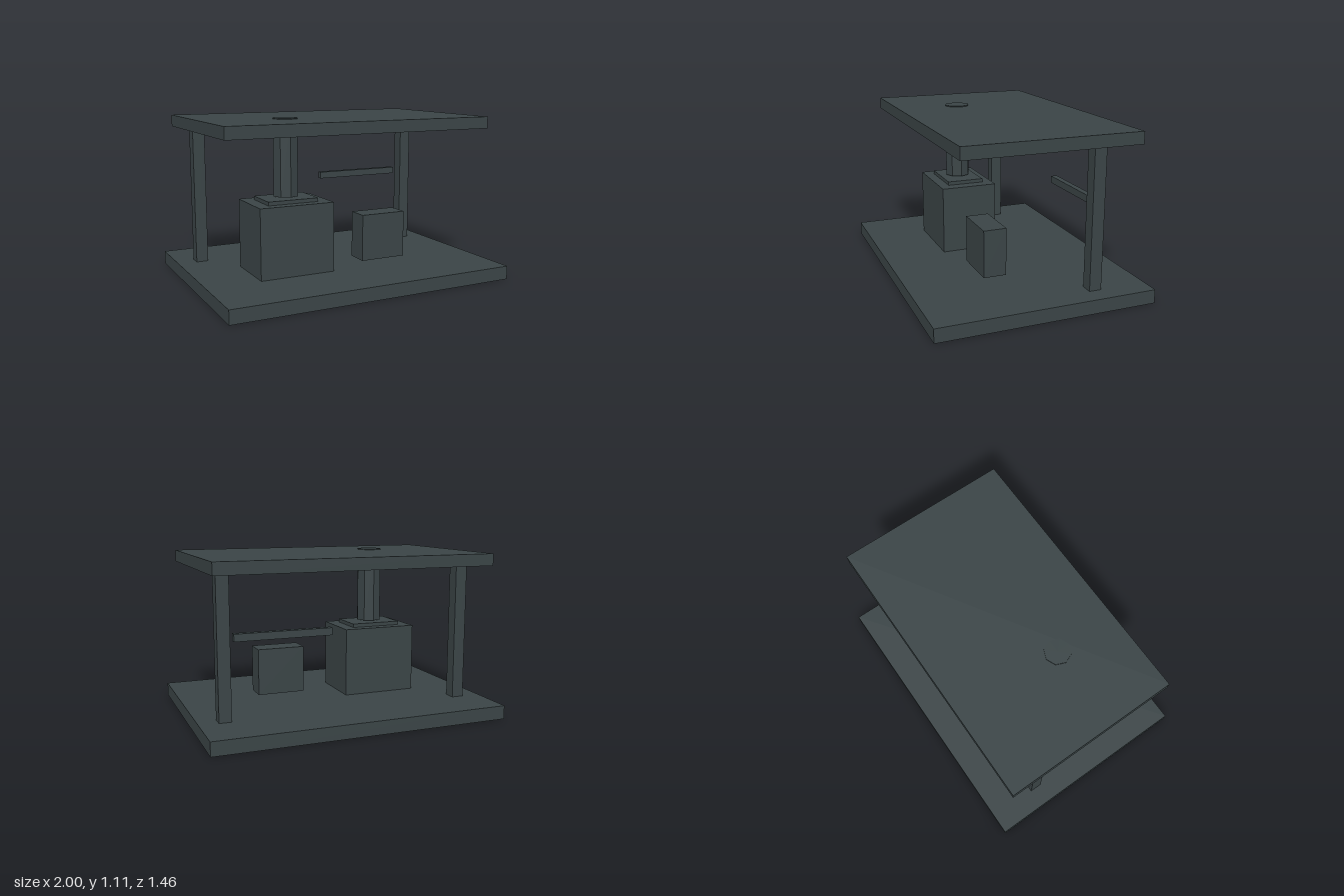
import * as THREE from 'three';

export function createModel() {
  const group = new THREE.Group();
  const material = new THREE.MeshStandardMaterial({ color: 0x3a4446, flatShading: true });

  const add = (name, geometry, x, y, z) => {
    const mesh = new THREE.Mesh(geometry, material);
    mesh.name = name;
    mesh.position.set(x, y, z);
    group.add(mesh);
  };

  // Box given by its ranges along each axis
  const box = (name, [x0, x1], [y0, y1], [z0, z1]) =>
    add(name, new THREE.BoxGeometry(x1 - x0, y1 - y0, z1 - z0),
      (x0 + x1) / 2, (y0 + y1) / 2, (z0 + z1) / 2);

  // Ground slab and flat roof
  box('base', [-1, 1], [0, 0.092], [-0.73, 0.73]);
  box('roof', [-0.938, 0.938], [1.025, 1.105], [-0.625, 0.54]);

  // Pair of rear roof posts
  for (const [name, x] of [['leftPost', 0.832], ['rightPost', -0.832]]) {
    box(name, [x - 0.041, x + 0.041], [0.092, 1.025], [-0.412, -0.33]);
  }

  // Furnace block with stepped collar and octagonal chimney
  box('furnace', [-0.638, -0.118], [0.092, 0.562], [-0.09, 0.305]);
  box('collar', [-0.555, -0.201], [0.562, 0.587], [-0.022, 0.236]);
  add('chimney', new THREE.CylinderGeometry(0.087, 0.087, 0.516, 8), -0.378, 0.854, 0.107);

  // Small block beside the furnace
  box('sideBlock', [0.144, 0.475], [0.111, 0.434], [0.07, 0.227]);

  // Thin rail behind the left post
  box('rail', [0.135, 0.778], [0.604, 0.652], [-0.453, -0.412]);

  return group;
}
